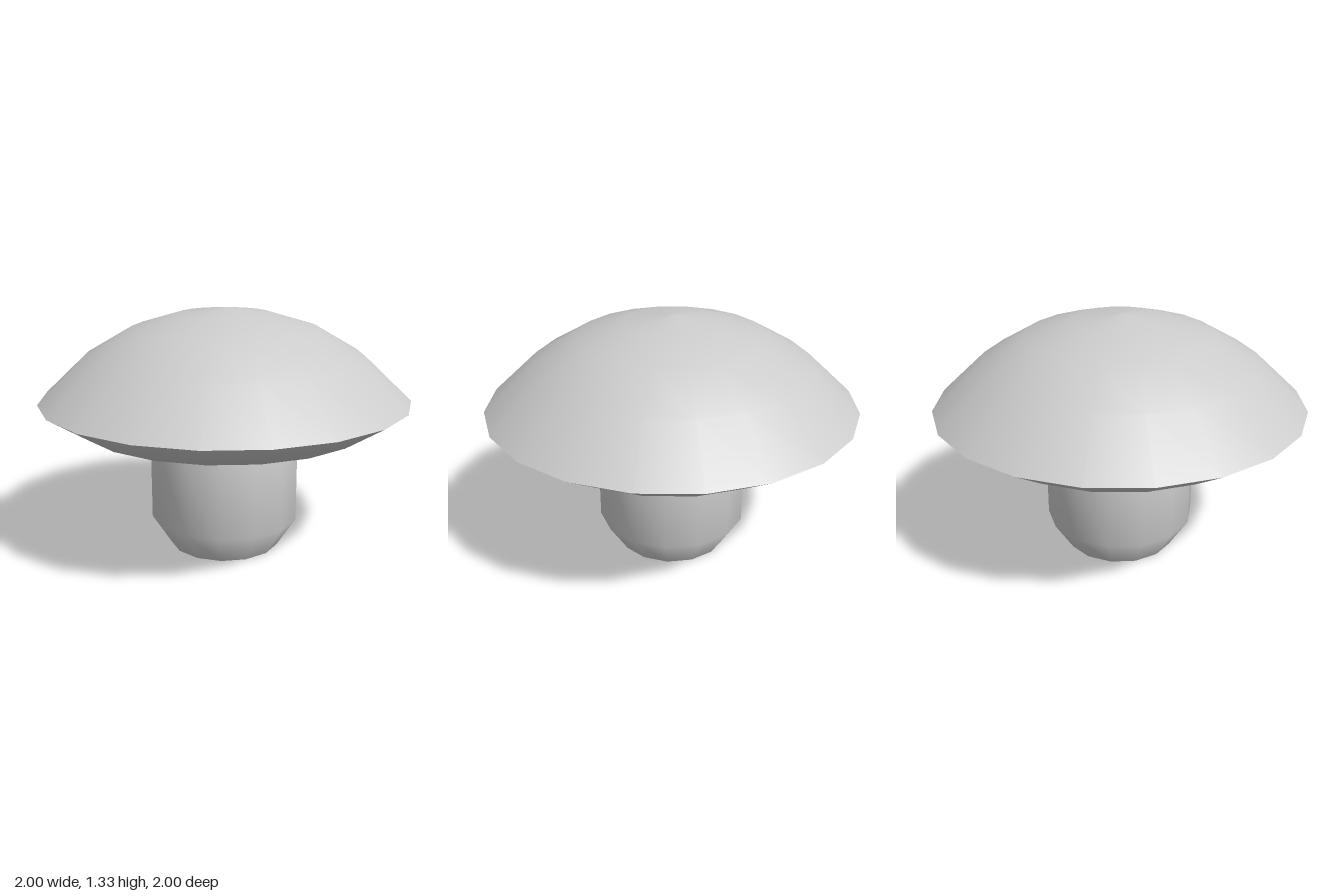
import * as THREE from 'three';

const material = new THREE.MeshStandardMaterial({ color: 0xcccccc });

// Revolves a profile of [radius, height] pairs into a named mesh
function lathe(name, sides, profile) {
  const points = profile.map(([r, y]) => new THREE.Vector2(r, y));
  const mesh = new THREE.Mesh(new THREE.LatheGeometry(points, sides), material);
  mesh.name = name;
  return mesh;
}

export function createModel() {
  const model = new THREE.Group();
  model.name = 'mushroom';

  // Stem: narrow foot, straight body, tapering into the cap
  const stemSides = 14;
  const stem = new THREE.Group();
  stem.name = 'stem';
  stem.add(lathe('stemBody', stemSides, [[0.305, 0], [0.41, 0.165], [0.41, 0.56], [0.355, 0.795]]));

  // Flat foot, with its corners turned to meet the stem's
  const foot = new THREE.Mesh(new THREE.CircleGeometry(0.305, stemSides, Math.PI / 2), material);
  foot.name = 'stemFoot';
  foot.rotation.x = Math.PI / 2;
  stem.add(foot);

  // Cap: hollowed underside and domed top, meeting in a sharp rim
  const cap = new THREE.Group();
  cap.name = 'cap';
  cap.add(
    lathe('capUnderside', 20, [[0.33, 0.79], [0.79, 0.705], [1, 0.84]]),
    lathe('capTop', 20, [[1, 0.84], [0.75, 1.075], [0.5, 1.22], [0.25, 1.295], [0, 1.325]])
  );

  model.add(stem, cap);
  return model;
}
